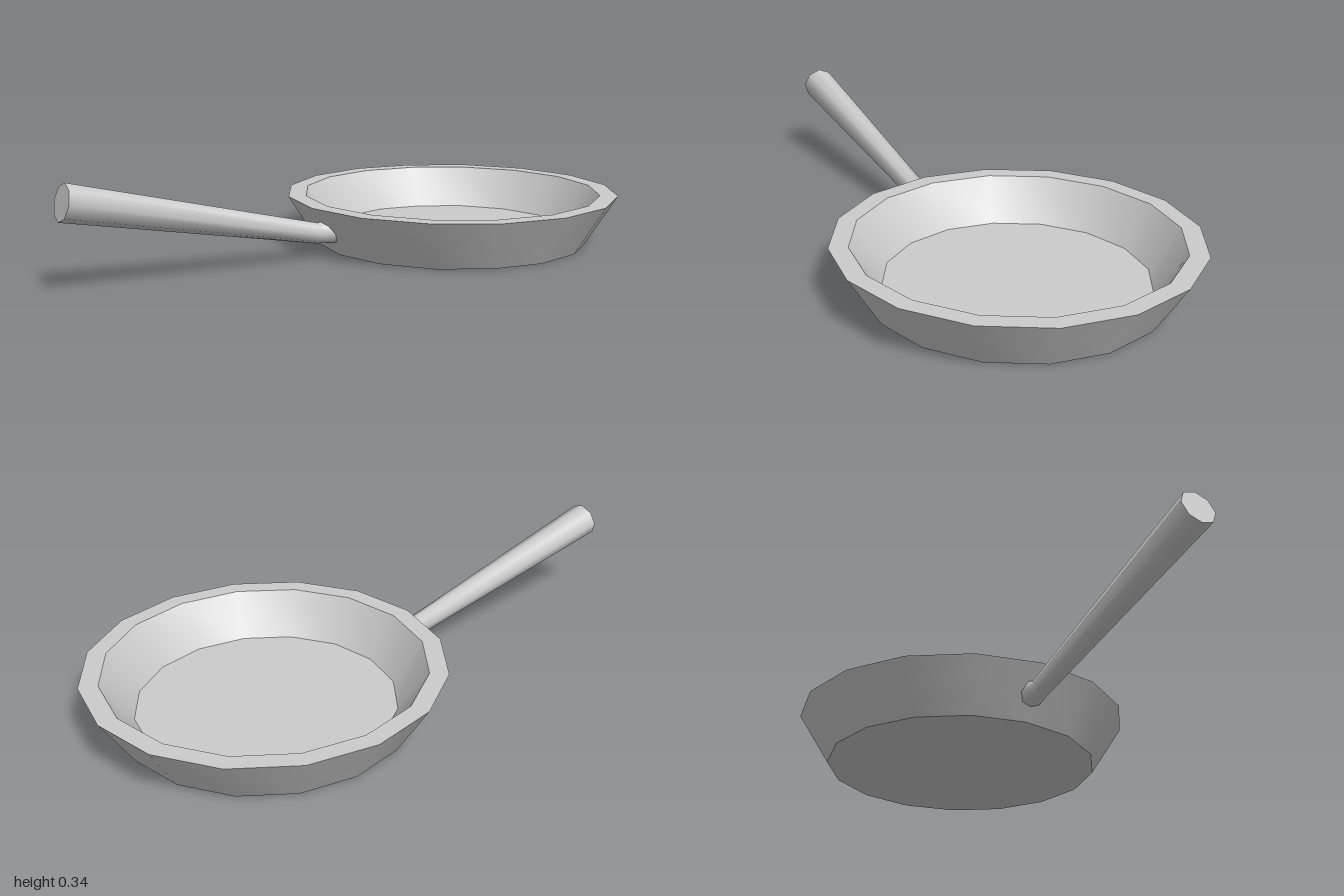
import * as THREE from 'three';
import { toCreasedNormals } from 'three/addons/utils/BufferGeometryUtils.js';

const SIDES = 8;

// Skin a row of elliptical rings running towards +x, capped at the first one.
function loft(rings) {
  const pos = [];
  const point = ({ c, up, w }, j) => {
    const a = (j / SIDES) * Math.PI * 2;
    return [c[0] + up[0] * Math.cos(a), c[1] + up[1] * Math.cos(a), w * Math.sin(a)];
  };
  for (let j = 0; j < SIDES; j++) {
    const first = rings[0];
    pos.push(...first.c, 0, ...point(first, j + 1), ...point(first, j));
    for (let i = 0; i < rings.length - 1; i++) {
      const a = point(rings[i], j), b = point(rings[i], j + 1);
      const c = point(rings[i + 1], j + 1), d = point(rings[i + 1], j);
      pos.push(...a, ...b, ...c, ...a, ...c, ...d);
    }
  }
  const geometry = new THREE.BufferGeometry();
  geometry.setAttribute('position', new THREE.Float32BufferAttribute(pos, 3));
  return geometry;
}

export function createModel() {
  const group = new THREE.Group();
  group.name = 'fryingPan';
  const material = new THREE.MeshStandardMaterial({ color: 0xcccccc });

  const add = (name, geometry, crease) => {
    const mesh = new THREE.Mesh(toCreasedNormals(geometry, crease), material);
    mesh.name = name;
    group.add(mesh);
    return mesh;
  };

  // Pan: underside, flared wall, flat rim, inner wall and floor
  const profile = [
    [0, 0], [0.468, 0], [0.573, 0.168], [0.512, 0.168], [0.416, 0.033], [0, 0.033],
  ].map(([r, y]) => new THREE.Vector2(r, y));
  add('pan', new THREE.LatheGeometry(profile, 16), 0.7).position.x = 0.427;

  // Handle: tapers down to the pan, then a short collar flares into the wall
  add('handle', loft([
    { c: [-0.9875, 0.2785], up: [0.0125, 0.0565], w: 0.058 },
    { c: [-0.13, 0.084], up: [0.0075, 0.033], w: 0.033 },
    { c: [-0.094, 0.082], up: [-0.024, 0.0385], w: 0.042 },
    { c: [-0.07, 0.082], up: [-0.024, 0.0385], w: 0.042 },
  ]), 1.0);

  return group;
}
